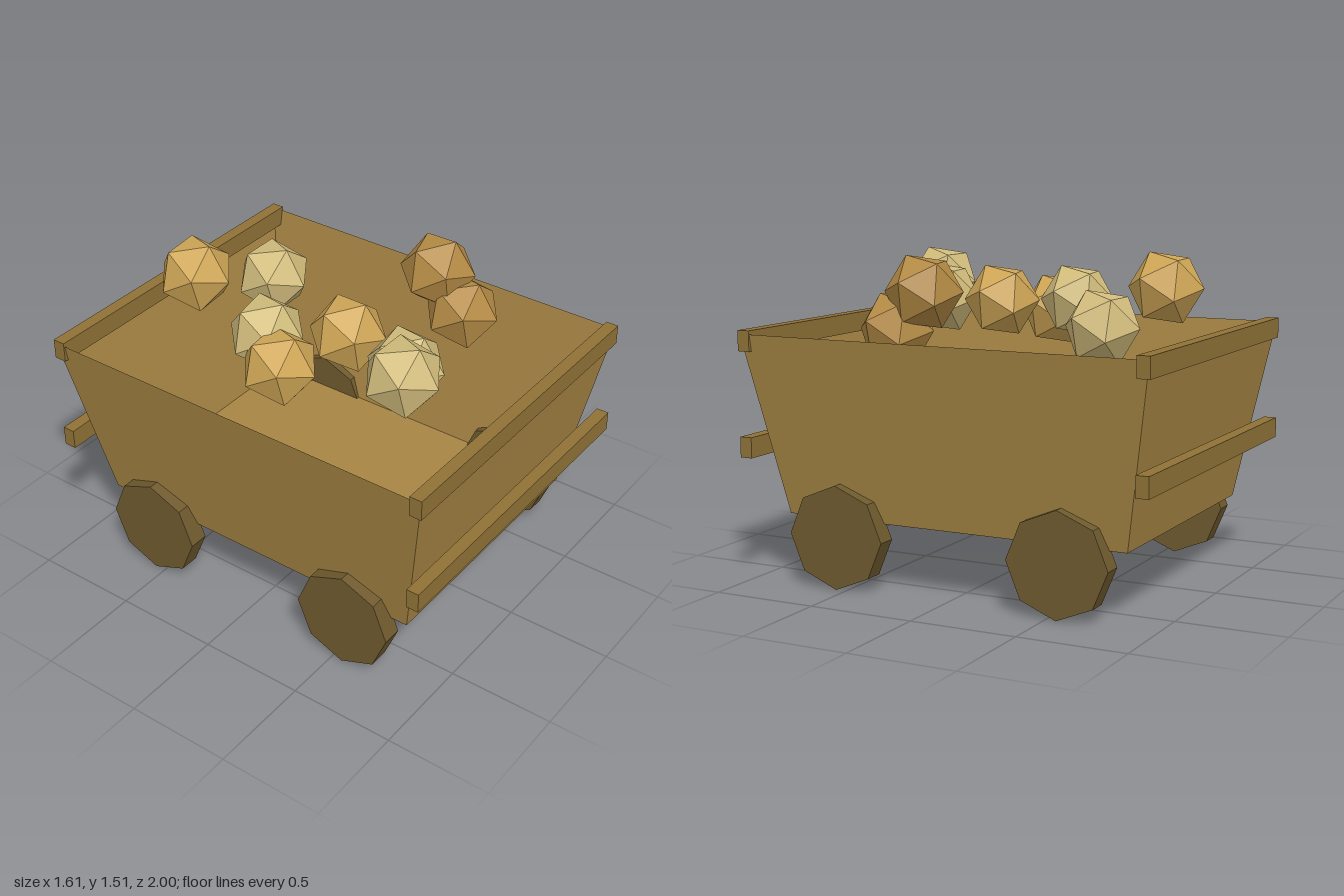
import * as THREE from 'three';

const mat = (color, extra = {}) =>
  new THREE.MeshStandardMaterial({ color, flatShading: true, ...extra });

// Open tub: a box without its top face, flaring upwards
function tubGeometry() {
  const bottom = { x: 0.645, y: 0.31, z: 0.842 };
  const top = { x: 0.8, y: 1.148, z: 0.993 };
  const g = new THREE.BoxGeometry(2, 2, 2);
  const p = g.attributes.position;
  for (let i = 0; i < p.count; i++) {
    const ring = p.getY(i) > 0 ? top : bottom;
    p.setXYZ(i, p.getX(i) * ring.x, ring.y, p.getZ(i) * ring.z);
  }
  const index = Array.from(g.index.array);
  index.splice(12, 6); // the +y face
  g.setIndex(index);
  g.clearGroups();
  g.computeVertexNormals();
  return g;
}

// Icosahedron turned so that one vertex points straight up
function rockGeometry(radius) {
  const g = new THREE.IcosahedronGeometry(radius, 0);
  g.rotateX(-Math.atan2(1, (1 + Math.sqrt(5)) / 2));
  return g;
}

export function createModel() {
  const model = new THREE.Group();
  const add = (name, geometry, material, x = 0, y = 0, z = 0) => {
    const mesh = new THREE.Mesh(geometry, material);
    mesh.name = name;
    mesh.position.set(x, y, z);
    model.add(mesh);
    return mesh;
  };

  add('tub', tubGeometry(), mat(0xa88644, { side: THREE.DoubleSide }));

  // Cross rails at both ends
  const rail = new THREE.BoxGeometry(1.61, 0.095, 0.06);
  const railMat = mat(0x8f7236);
  for (const end of [1, -1]) {
    const side = end > 0 ? 'front' : 'back';
    add(side + 'TopRail', rail, railMat, 0, 1.118, end * 0.97);
    add(side + 'MiddleRail', rail, railMat, 0, 0.632, end * 0.97);
  }

  // Eight-sided wheels, a corner pointing down
  const wheel = new THREE.CylinderGeometry(0.24, 0.24, 0.095, 8);
  wheel.rotateZ(Math.PI / 2);
  const wheelMat = mat(0x6f5a2e);
  for (const end of [1, -1])
    for (const side of [1, -1])
      add((end > 0 ? 'front' : 'back') + (side > 0 ? 'Left' : 'Right') + 'Wheel',
        wheel, wheelMat, side * 0.678, 0.24, end * 0.55);

  // Load of ore lumps: x, y, z, material, turn
  const pale = mat(0xd2bd7c), gold = mat(0xcfa656), dark = mat(0xb58b45);
  const lump = rockGeometry(0.18);
  const lumps = [
    [-0.2, 1.345, -0.66, gold, 0.1],
    [0.195, 1.195, -0.52, pale, 0],
    [-0.3, 1.26, -0.17, pale, 0.2],
    [-0.41, 1.2, -0.015, gold, 0.1],
    [-0.1, 1.265, 0.13, gold, 0.3],
    [0.48, 1.345, 0.22, dark, 0.3],
    [0.49, 1.17, 0.355, dark, 0.1],
    [-0.16, 1.26, 0.48, pale, 0.2],
    [-0.315, 1.325, 0.57, pale, 0],
  ];
  lumps.forEach(([x, y, z, material, turn], i) => {
    add('oreLump' + (i + 1), lump, material, x, y, z).rotation.y = turn;
  });

  return model;
}
